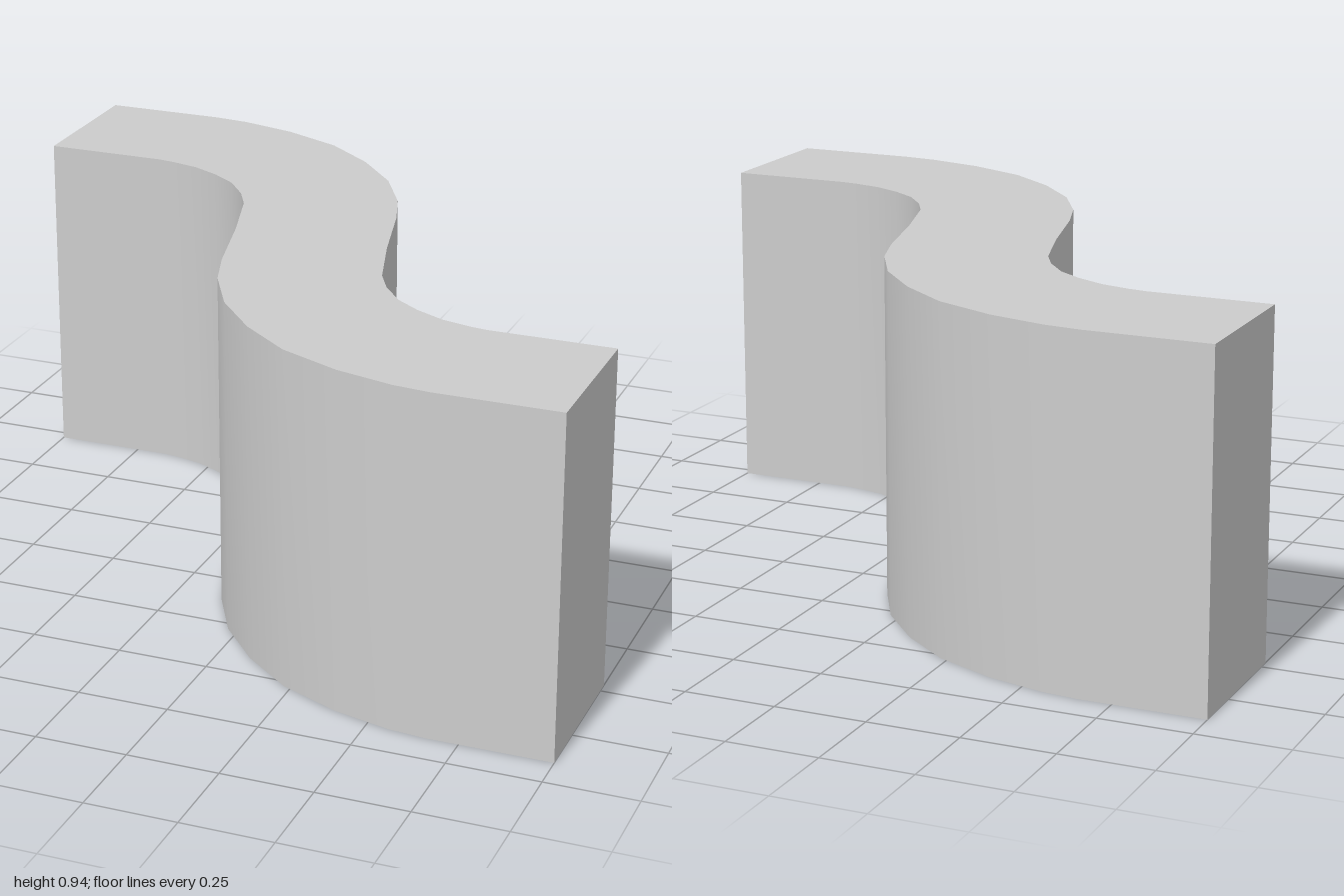
import * as THREE from 'three';
import { toCreasedNormals } from 'three/addons/utils/BufferGeometryUtils.js';

const HEIGHT = 0.94;

// Back edge of the S-shaped plan as [x, z], from the left end to the right end
const backEdge = [
  [-1, -0.9], [-0.66, -0.9], [-0.56, -0.89], [-0.4, -0.85], [-0.23, -0.775],
  [-0.09, -0.665], [0.03, -0.53], [0.115, -0.375], [0.16, -0.24], [0.22, 0],
  [0.28, 0.2], [0.32, 0.275], [0.38, 0.35], [0.45, 0.4], [0.53, 0.44],
  [0.61, 0.46], [0.66, 0.467], [1, 0.467],
];

export function createModel() {
  const group = new THREE.Group();
  group.name = 'curvedBlock';

  const grey = new THREE.MeshStandardMaterial({ color: 0xcccccc });
  grey.name = 'light grey';

  // The front edge is the back edge turned half way round the centre
  const outline = [...backEdge, ...backEdge.map(([x, z]) => [-x, -z])];
  const shape = new THREE.Shape(outline.map(([x, z]) => new THREE.Vector2(x, -z)));

  // Upright S-shaped block with smooth sides and sharp rims
  const geometry = new THREE.ExtrudeGeometry(shape, { depth: HEIGHT, bevelEnabled: false });
  geometry.rotateX(-Math.PI / 2);
  const block = new THREE.Mesh(toCreasedNormals(geometry, 0.6), grey);
  block.name = 'sBendBlock';
  group.add(block);

  return group;
}
